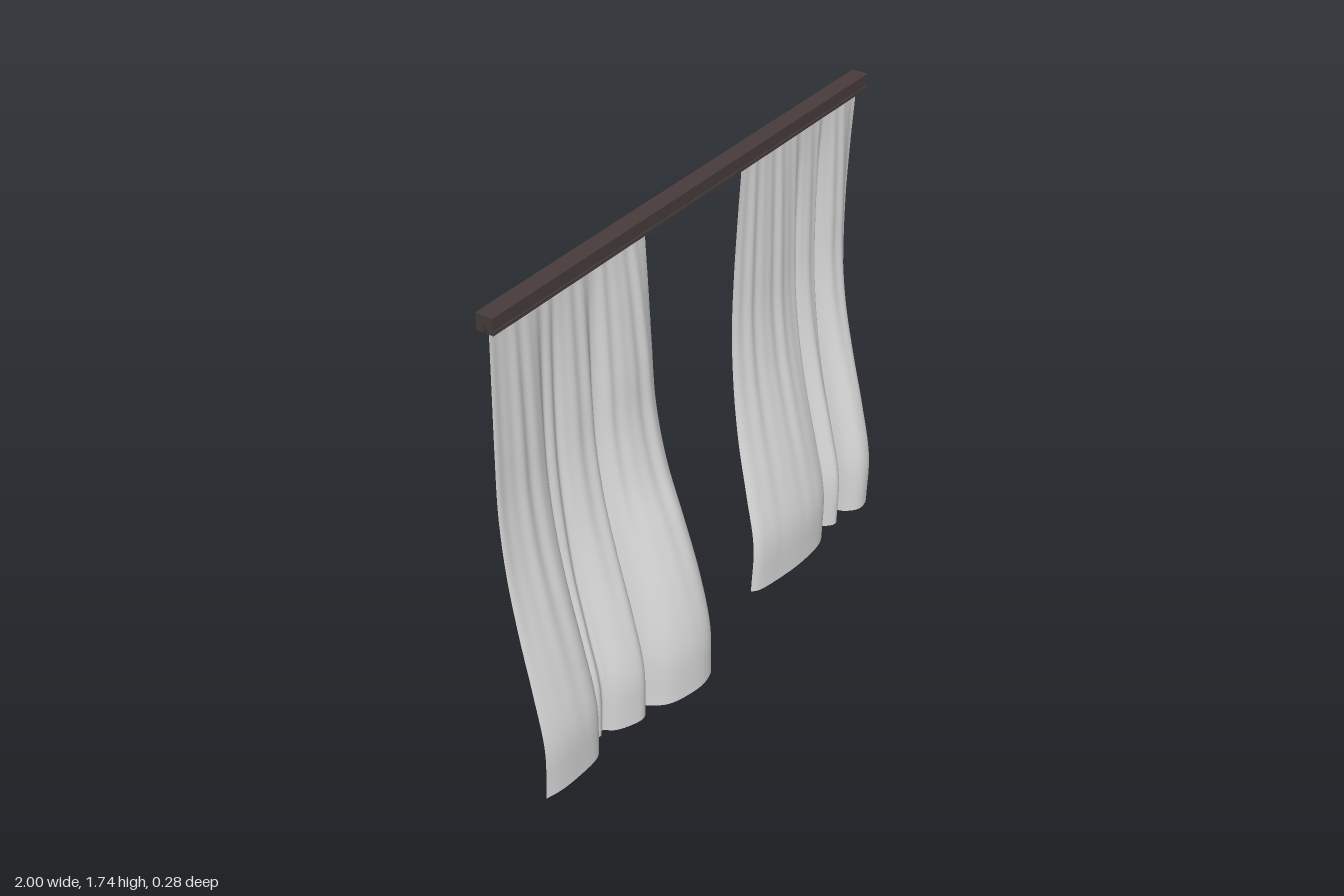
import * as THREE from 'three';

const TOP = 1.705;
const fabric = new THREE.MeshStandardMaterial({ color: 0xd8d8d8, side: THREE.DoubleSide });
fabric.name = 'pale grey fabric';
const wood = new THREE.MeshStandardMaterial({ color: 0x483d3b });
wood.name = 'dark brown wood';

// Smooth value table, evenly spaced from floor (t = 0) to rail (t = 1)
const table = (values) => {
  const curve = new THREE.SplineCurve(values.map((v, i) => new THREE.Vector2(i, v)));
  return (t) => curve.getPoint(t).y;
};
// Forward drift of the cloth, and how open its folds are
const drift = table([0.047, 0.05, 0.012, -0.035, -0.075, -0.097, -0.1, -0.1, -0.1]);
const spread = table([1, 0.97, 1, 0.88, 0.6, 0.44, 0.38, 0.24, 0.06]);

// One hanging panel: the hem line blends up into a nearly straight heading
function makeCurtain(name, hemPoints, topLeft, topRight, phase) {
  const hem = new THREE.CatmullRomCurve3(hemPoints.map(([x, z]) => new THREE.Vector3(x, 0, z)));
  const columns = 140, rows = 50;
  const geometry = new THREE.PlaneGeometry(1, 1, columns, rows);
  const pos = geometry.attributes.position;
  const hemSamples = hem.getSpacedPoints(columns);
  for (let r = 0; r <= rows; r++) {
    const t = 1 - r / rows;
    const gather = Math.pow(t, 1.25);
    for (let c = 0; c <= columns; c++) {
      const u = c / columns;
      const h = hemSamples[c];
      // small pleats that fade out towards the hem
      const pleat = 0.005 * Math.sin(t * Math.PI * 0.8 + 0.4) * t
        * (Math.sin(u * 56 + phase) + 0.6 * Math.sin(u * 91 + phase * 2));
      const x = THREE.MathUtils.lerp(h.x, THREE.MathUtils.lerp(topLeft, topRight, u), gather);
      const z = drift(t) + (h.z - 0.047) * spread(t) + pleat;
      const hemLift = 0.02 * Math.pow(2 * u - 1, 2) + 0.003;
      pos.setXYZ(r * (columns + 1) + c, x, THREE.MathUtils.lerp(hemLift, TOP, t), z);
    }
  }
  geometry.computeVertexNormals();
  const mesh = new THREE.Mesh(geometry, fabric);
  mesh.name = name;
  return mesh;
}

// Rail with a curtain channel along its underside and a fine lip on its faces
function makeRail() {
  const half = [[0.008, 1.715], [0.008, 1.69], [0.03, 1.69], [0.03, 1.701],
    [0.028, 1.703], [0.028, 1.706], [0.03, 1.708], [0.03, 1.745]];
  const outline = [...half, ...half.map(([z, y]) => [-z, y]).reverse()];
  const shape = new THREE.Shape(outline.map(([z, y]) => new THREE.Vector2(z, y)));
  const geometry = new THREE.ExtrudeGeometry(shape, { depth: 1.93, bevelEnabled: false });
  geometry.rotateY(Math.PI / 2);
  geometry.translate(-0.945, 0, -0.1);
  const mesh = new THREE.Mesh(geometry, wood);
  mesh.name = 'curtainRail';
  return mesh;
}

export function createModel() {
  const group = new THREE.Group();
  group.name = 'curtains';
  group.add(makeRail());

  // Hem lines as [x, z]
  const rightHem = [[-1, 0.04], [-0.95, 0.052], [-0.87, 0.058], [-0.75, 0.05], [-0.715, 0.02],
    [-0.705, -0.02], [-0.69, -0.012], [-0.67, -0.002], [-0.645, -0.015], [-0.625, 0.015],
    [-0.58, 0.045], [-0.52, 0.063], [-0.49, 0.045], [-0.483, 0.005], [-0.46, 0.05],
    [-0.42, 0.095], [-0.35, 0.125], [-0.27, 0.138], [-0.21, 0.12], [-0.19, 0.07]];
  const leftHem = [[0.205, 0.005], [0.23, 0.022], [0.34, 0.042], [0.48, 0.054], [0.61, 0.045],
    [0.665, 0.015], [0.685, -0.03], [0.7, 0], [0.74, 0.032], [0.78, 0.01], [0.802, -0.035],
    [0.825, 0.025], [0.87, 0.064], [0.93, 0.055], [0.975, 0.005], [0.995, -0.04]];
  group.add(makeCurtain('rightCurtain', rightHem, -0.93, -0.235, 0.5));
  group.add(makeCurtain('leftCurtain', leftHem, 0.28, 0.97, 2.1));
  return group;
}
